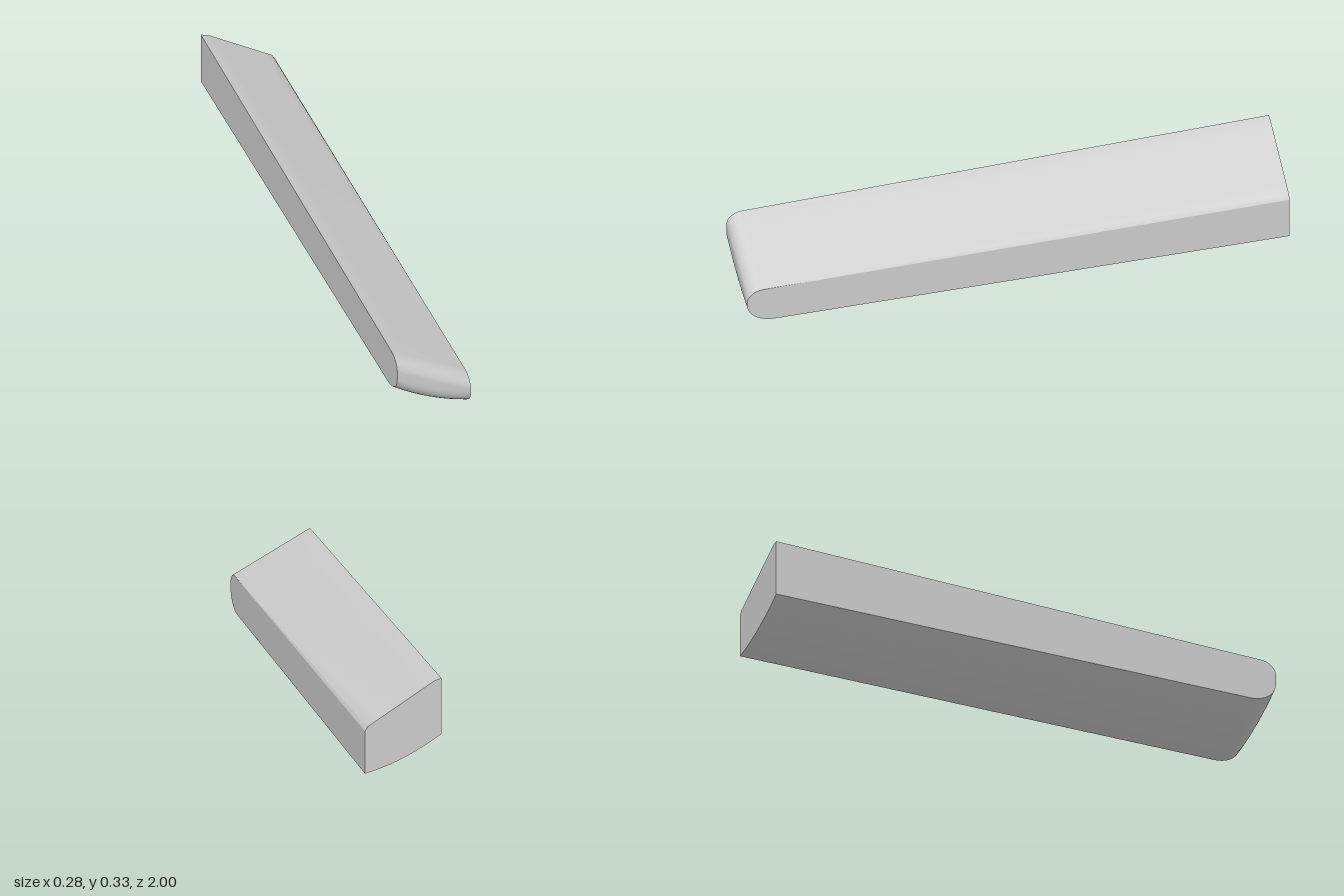
import * as THREE from 'three';
import { toCreasedNormals } from 'three/addons/utils/BufferGeometryUtils.js';

// Underside: a shallow curve across the width, constant along the length
const bottomAt = (x) => 0.05 - 0.457 * x + 0.816 * x * x;

// Top edge at the nose (straight slope) and at the tail (slope with bevelled ends)
const noseTop = (x) => 0.212 - 0.543 * x;
const tailEdge = [[-0.14, 0.337], [-0.115, 0.33], [0.13, 0.177], [0.14, 0.16]];
function tailTop(x) {
  const i = x <= tailEdge[1][0] ? 0 : x <= tailEdge[2][0] ? 1 : 2;
  const [x0, y0] = tailEdge[i], [x1, y1] = tailEdge[i + 1];
  return THREE.MathUtils.lerp(y0, y1, (x - x0) / (x1 - x0));
}

// Lengthwise outline at one x: flat back, blunt rounded nose
function section(x) {
  const b = bottomAt(x), t = noseTop(x), n = 10;
  const pts = [[x, b, -1]];
  for (let k = 0; k <= n; k++) {
    const a = (k / n) * Math.PI / 2;
    pts.push([x, b + 0.075 * (1 - Math.cos(a)), 0.9 + 0.1 * Math.sin(a)]);
  }
  for (let k = 0; k <= n; k++) {
    const a = (k / n) * Math.PI / 2;
    pts.push([x, t - 0.05 + 0.05 * Math.sin(a), 0.94 + 0.06 * Math.cos(a)]);
  }
  pts.push([x, tailTop(x), -1]);
  return pts;
}

export function createModel() {
  const xs = [-0.14, -0.115, -0.08, -0.045, -0.01, 0.025, 0.06, 0.095, 0.13, 0.14];
  const rings = xs.map(section);
  const m = rings[0].length, last = xs.length - 1;
  const index = [];

  // Skin between neighbouring sections
  for (let i = 0; i < last; i++) {
    for (let j = 0; j < m; j++) {
      const a = i * m + j, d = i * m + (j + 1) % m;
      index.push(a, a + m, d, a + m, d + m, d);
    }
  }
  // Flat side faces
  for (let j = 1; j < m - 1; j++) {
    index.push(0, j, j + 1);
    index.push(last * m, last * m + j + 1, last * m + j);
  }

  const geometry = new THREE.BufferGeometry();
  geometry.setAttribute('position', new THREE.Float32BufferAttribute(rings.flat(2), 3));
  geometry.setIndex(index);

  const bar = new THREE.Mesh(
    toCreasedNormals(geometry, 0.5),
    new THREE.MeshStandardMaterial({ color: 0xcccccc })
  );
  bar.name = 'roundedNoseBar';

  const group = new THREE.Group();
  group.name = 'slantedBar';
  group.add(bar);
  return group;
}
